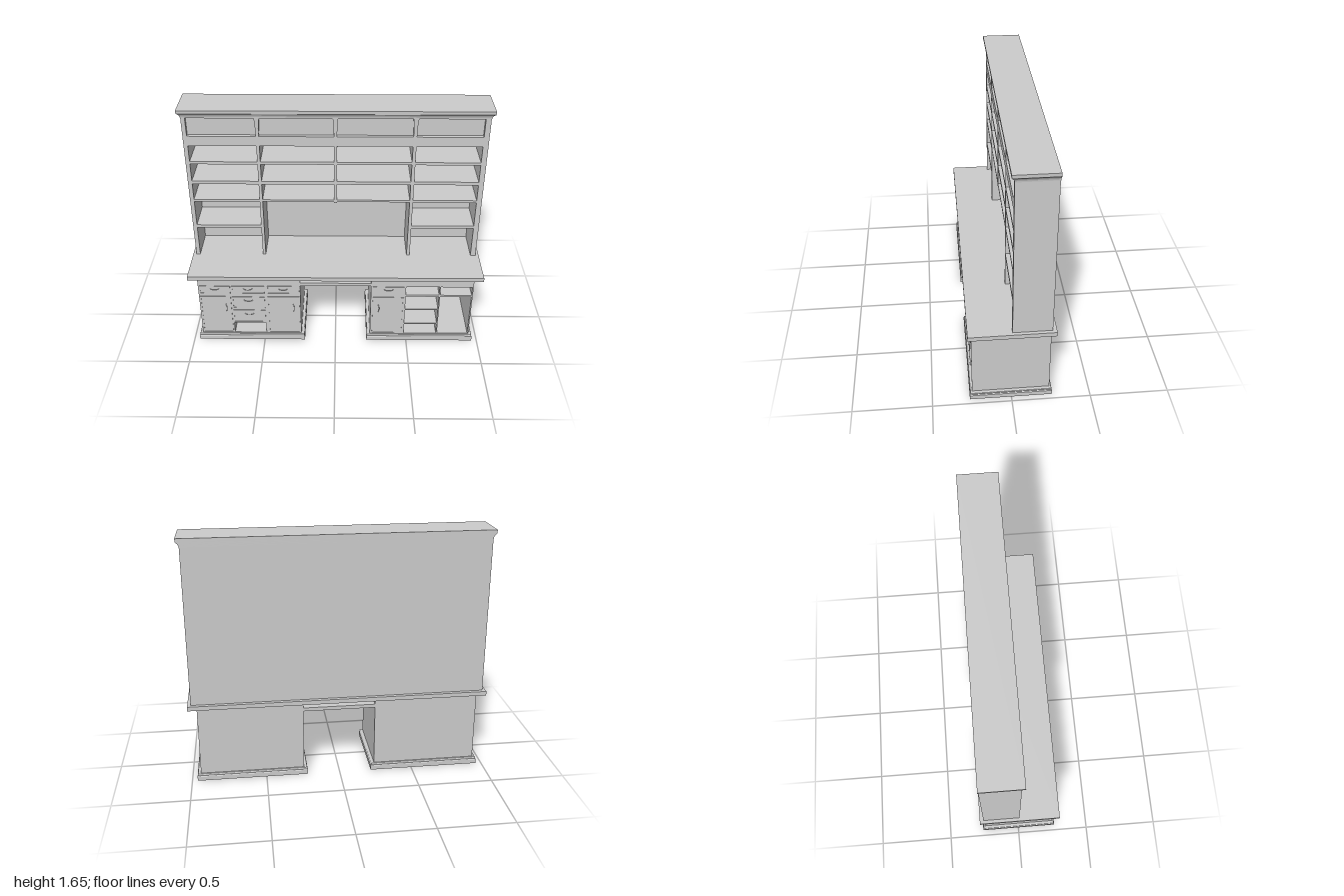
import * as THREE from 'three';

const material = new THREE.MeshStandardMaterial({ color: 0xcccccc, flatShading: true });

function addMesh(parent, name, geometry) {
  const mesh = new THREE.Mesh(geometry, material);
  mesh.name = name;
  parent.add(mesh);
  return mesh;
}

function box(parent, name, x0, x1, y0, y1, z0, z1) {
  const mesh = addMesh(parent, name, new THREE.BoxGeometry(x1 - x0, y1 - y0, z1 - z0));
  mesh.position.set((x0 + x1) / 2, (y0 + y1) / 2, (z0 + z1) / 2);
  return mesh;
}

function trace(path, x0, x1, y0, y1) {
  path.moveTo(x0, y0);
  path.lineTo(x1, y0);
  path.lineTo(x1, y1);
  path.lineTo(x0, y1);
  path.closePath();
  return path;
}

// Block running from z0 to z1, pierced by rectangular openings [x0, x1, y0, y1]
function piercedBlock(parent, name, [x0, x1, y0, y1], z0, z1, openings) {
  const shape = trace(new THREE.Shape(), x0, x1, y0, y1);
  for (const o of openings) shape.holes.push(trace(new THREE.Path(), ...o));
  const geometry = new THREE.ExtrudeGeometry(shape, { depth: z1 - z0, bevelEnabled: false });
  geometry.translate(0, 0, z0);
  return addMesh(parent, name, geometry);
}

// Stack of rectangles [y, x0, x1, z0, z1] from bottom to top, joined and capped
function loftRects(parent, name, rings) {
  const positions = [], indices = [];
  for (const [y, x0, x1, z0, z1] of rings)
    positions.push(x0, y, z1, x1, y, z1, x1, y, z0, x0, y, z0);
  for (let r = 0; r < rings.length - 1; r++)
    for (let i = 0; i < 4; i++) {
      const a = r * 4 + i, b = r * 4 + (i + 1) % 4;
      indices.push(a, b, b + 4, a, b + 4, a + 4);
    }
  const t = (rings.length - 1) * 4;
  indices.push(0, 2, 1, 0, 3, 2, t, t + 1, t + 2, t, t + 2, t + 3);
  const indexed = new THREE.BufferGeometry();
  indexed.setAttribute('position', new THREE.Float32BufferAttribute(positions, 3));
  indexed.setIndex(indices);
  const geometry = indexed.toNonIndexed();
  geometry.computeVertexNormals();
  return addMesh(parent, name, geometry);
}

const FRONT = 0.248, BACK = -0.243;

// Thin slab with a raised rim, for doors and drawers
function framedFront(parent, name, x0, x1, y0, y1) {
  const group = new THREE.Group();
  group.name = name;
  parent.add(group);
  const rim = 0.006;
  box(group, 'panel', x0, x1, y0, y1, FRONT - 0.005, FRONT + 0.002);
  piercedBlock(group, 'rim', [x0, x1, y0, y1], FRONT, FRONT + 0.005,
    [[x0 + rim, x1 - rim, y0 + rim, y1 - rim]]);
  return group;
}

// Bowed pull handle
function handle(parent, x, y, vertical) {
  const curve = new THREE.CatmullRomCurve3([
    [-0.03, 0, 0], [-0.027, 0, 0.005], [-0.015, -0.004, 0.008],
    [0.015, -0.004, 0.008], [0.027, 0, 0.005], [0.03, 0, 0],
  ].map((p) => new THREE.Vector3(...p)));
  const mesh = addMesh(parent, 'handle', new THREE.TubeGeometry(curve, 16, 0.002, 6));
  mesh.position.set(x, y, FRONT + 0.001);
  if (vertical) mesh.rotation.z = Math.PI / 2;
}

function drawer(parent, x0, x1, y0, y1, handleY) {
  handle(framedFront(parent, 'drawer', x0, x1, y0, y1), (x0 + x1) / 2, handleY, false);
}

function door(parent, x0, x1, handleX) {
  handle(framedFront(parent, 'door', x0, x1, 0.053, 0.373), handleX, 0.278, true);
}

function pedestal(parent, name, x0, x1, openings) {
  const group = new THREE.Group();
  group.name = name;
  parent.add(group);
  piercedBlock(group, 'carcass', [x0, x1, 0.04, 0.526], BACK + 0.012, FRONT, openings);
  box(group, 'backPanel', x0, x1, 0.04, 0.526, BACK, BACK + 0.012);
  // Moulded plinth: [y, overhang]
  const profile = [[0, 0.024], [0.03, 0.024], [0.035, 0.019], [0.041, 0.021], [0.046, 0.019], [0.048, 0.016]];
  loftRects(group, 'plinth', profile.map(([y, o]) =>
    [y, x0 - o, x1 + o, BACK - o * 0.65, FRONT + o * 0.65]));
  return group;
}

export function createModel() {
  const model = new THREE.Group();
  model.name = 'deskWithHutch';

  // Left-hand pedestal seen from the front: drawers, two doors and a niche
  const p1 = pedestal(model, 'rightPedestal', -0.938, -0.24, [[-0.71, -0.487, 0.053, 0.138]]);
  const topDrawer = [0.398, 0.463, 0.44];
  for (const [x0, x1] of [[-0.93, -0.72], [-0.71, -0.487], [-0.467, -0.247]])
    drawer(p1, x0, x1, ...topDrawer);
  drawer(p1, -0.71, -0.487, 0.272, 0.37, 0.343);
  drawer(p1, -0.71, -0.487, 0.147, 0.255, 0.224);
  door(p1, -0.93, -0.72, -0.755);
  door(p1, -0.467, -0.247, -0.29);

  // Other pedestal: one drawer and door, then open cubbies
  const rows = [[0.393, 0.462], [0.272, 0.379], [0.143, 0.261], [0.053, 0.136]];
  const cubbies = rows.map(([y0, y1]) => [0.482, 0.71, y0, y1]);
  cubbies.push([0.718, 0.932, 0.393, 0.462], [0.718, 0.932, 0.053, 0.379]);
  const p2 = pedestal(model, 'leftPedestal', 0.243, 0.94, cubbies);
  drawer(p2, 0.257, 0.47, ...topDrawer);
  door(p2, 0.257, 0.47, 0.297);

  // Worktop and the tray hung in the knee space
  box(model, 'worktop', -0.999, 0.999, 0.524, 0.553, -0.268, 0.27);
  box(model, 'kneeRail', -0.24, 0.243, 0.514, 0.526, BACK, FRONT);
  box(model, 'keyboardTray', -0.245, 0.245, 0.467, 0.491, BACK, FRONT);

  // Hutch: four bays of shelves, with the middle two open below
  const hutch = new THREE.Group();
  hutch.name = 'hutch';
  model.add(hutch);
  const bays = [[-0.95, -0.51], [-0.49, -0.012], [0.008, 0.495], [0.517, 0.942]];
  const shelfRows = [[1.287, 1.402], [1.142, 1.268], [1.0, 1.119]];
  const openings = [[-0.49, 0.495, 0.553, 0.985]];
  bays.forEach(([x0, x1], i) => {
    for (const [y0, y1] of shelfRows) openings.push([x0, x1, y0, y1]);
    if (i === 0 || i === 3) openings.push([x0, x1, 0.797, 0.983], [x0, x1, 0.553, 0.776]);
    openings.push([x0, x1, 1.47, 1.596]);
    box(hutch, 'friezePanel', x0 - 0.005, x1 + 0.005, 1.465, 1.6, -0.05, -0.025);
  });
  piercedBlock(hutch, 'shelving', [-0.977, 0.977, 0.54, 1.61], BACK + 0.01, 0, openings);
  box(hutch, 'backPanel', -0.977, 0.977, 0.54, 1.61, BACK, BACK + 0.01);
  box(hutch, 'dividerEnd', -0.012, 0.008, 0.977, 0.99, BACK + 0.01, 0);
  box(hutch, 'backSeam', -0.004, 0.002, 0.553, 0.985, BACK + 0.009, BACK + 0.013);

  // Tapered brackets under the cornice
  for (const x of [-0.5, -0.002, 0.506])
    loftRects(hutch, 'bracket', [[1.48, 0.011, -0.01], [1.54, 0.012, 0], [1.58, 0.015, 0.001], [1.61, 0.02, 0.002]]
      .map(([y, w, z]) => [y, x - w, x + w, -0.03, z]));

  // Cornice coved on the front and sides, flat at the back: [y, overhang]
  const cove = [[1.598, 0], [1.606, 0.001], [1.614, 0.004], [1.622, 0.009],
    [1.629, 0.016], [1.633, 0.021], [1.655, 0.022]];
  loftRects(hutch, 'cornice', cove.map(([y, o]) =>
    [y, -0.978 - o, 0.978 + o, BACK - 0.002, 0.001 + o * 0.8]));

  return model;
}
